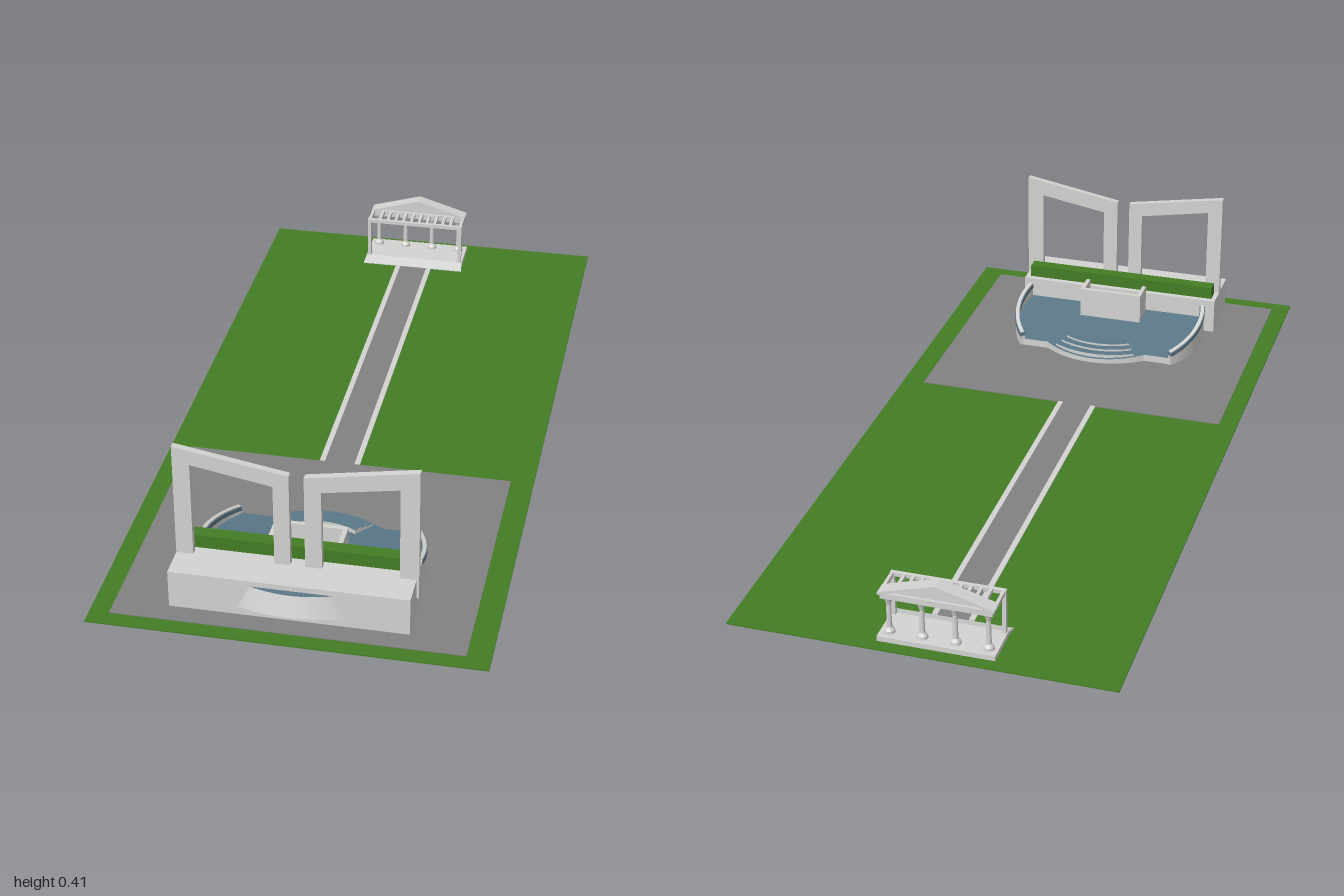
import * as THREE from 'three';

export function createModel() {
  const root = new THREE.Group();
  root.name = 'memorialGarden';
  const mat = (name, color) => Object.assign(new THREE.MeshStandardMaterial({ color, flatShading: true }), { name });
  const grass = mat('grass green', 0x437d24);
  const paving = mat('paving grey', 0x828282);
  const stone = mat('pale stone', 0xd3d3d1);
  const water = mat('water blue', 0x5b7888);

  const add = (name, geo, m, parent = root) => {
    const mesh = new THREE.Mesh(geo, m);
    mesh.name = name;
    parent.add(mesh);
    return mesh;
  };
  // Box given by its limits on each axis
  const box = (name, x0, x1, y0, y1, z0, z1, m, parent) => {
    const g = new THREE.BoxGeometry(x1 - x0, y1 - y0, z1 - z0);
    g.translate((x0 + x1) / 2, (y0 + y1) / 2, (z0 + z1) / 2);
    return add(name, g, m, parent);
  };
  // Plan outline [x, z] raised between two sloping surfaces; taper moves the top corners
  const slab = (name, pts, bottom, top, m, taper) => {
    const shape = new THREE.Shape(pts.map(([x, z]) => new THREE.Vector2(x, -z)));
    const g = new THREE.ExtrudeGeometry(shape, { depth: 1, bevelEnabled: false });
    g.rotateX(-Math.PI / 2);
    const p = g.attributes.position;
    for (let i = 0; i < p.count; i++) {
      let x = p.getX(i), z = p.getZ(i);
      const upper = p.getY(i) > 0.5;
      const y = upper ? top(z) : bottom(z);
      if (upper && taper) [x, z] = taper(x, z);
      p.setXYZ(i, x, y, z);
    }
    g.computeVertexNormals();
    return add(name, g, m);
  };
  const arc = (cz, r, a0, a1, n = 20) => Array.from({ length: n + 1 }, (_, i) => {
    const a = a0 + (a1 - a0) * i / n;
    return [r * Math.cos(a), cz + r * Math.sin(a)];
  });

  // Ground
  box('lawn', -0.473, 0.473, 0.015, 0.018, -1, 1, grass);
  box('plaza', -0.425, 0.415, 0, 0.02, 0.24, 0.96, paving);
  box('path', -0.066, 0.011, 0.013, 0.02, -0.83, 0.24, paving);
  for (const x of [-0.08, 0.011]) box('pathKerb', x, x + 0.014, 0.015, 0.021, -0.83, 0.24, stone);

  // Main wall with hedge on top
  box('wallFooting', -0.27, 0.265, 0.02, 0.026, 0.765, 0.905, paving);
  box('mainWall', -0.293, 0.277, 0.025, 0.122, 0.757, 0.915, stone);
  box('hedge', -0.28, 0.262, 0.122, 0.156, 0.773, 0.807, grass);

  // Two leaning gate frames
  const frame = (name, outer, inner) => {
    const s = new THREE.Shape(outer.map(p => new THREE.Vector2(...p)));
    s.holes.push(new THREE.Path(inner.map(p => new THREE.Vector2(...p))));
    const g = new THREE.ExtrudeGeometry(s, { depth: 0.017, bevelEnabled: false });
    g.translate(0, 0, 0.818);
    add(name, g, stone);
  };
  frame('rightGateFrame',
    [[-0.293, 0.07], [-0.02, 0.07], [-0.02, 0.368], [-0.293, 0.415]],
    [[-0.252, 0.1], [-0.252, 0.37], [-0.058, 0.335], [-0.058, 0.1]]);
  frame('leftGateFrame',
    [[0.015, 0.07], [0.283, 0.07], [0.283, 0.415], [0.015, 0.368]],
    [[0.055, 0.1], [0.055, 0.333], [0.238, 0.364], [0.238, 0.1]]);

  // Bowed basin on the front of the wall
  const bow = Array.from({ length: 17 }, (_, i) => {
    const t = i / 8 - 1;
    return [0.13 * t, 0.914 + 0.033 * (1 - t * t)];
  });
  slab('frontBasin', bow, z => 0.046 + 0.3 * (z - 0.914), () => 0.108, [water, stone],
    (x, z) => [x * 0.77, 0.914 + (z - 0.914) * 0.55]);

  // Sloping pool behind the wall
  const waterY = z => 0.033 + (z - 0.485) * 0.13;
  const floorY = () => 0.02;
  const cut = Math.asin((0.535 - 0.69) / 0.265), side = Math.asin(0.07 / 0.265);
  const bulge = Math.asin((0.535 - 0.71) / 0.225);
  slab('pool', [
    ...arc(0.69, 0.265, side, cut),
    ...arc(0.71, 0.225, bulge, -Math.PI - bulge, 24),
    ...arc(0.69, 0.265, -Math.PI - cut, -Math.PI - side),
  ], floorY, waterY, [water, stone]);

  // Curved side walls with a blue band and a stone coping
  const rimY = z => 0.107 - 0.2 * (0.76 - z);
  const ring = (r0, r1, a, b) => [...arc(0.69, r0, a, b), ...arc(0.69, r1, b, a)];
  for (const [a, b] of [[side, cut], [-Math.PI - cut, -Math.PI - side]]) {
    slab('poolSideWall', ring(0.26, 0.272, a, b), floorY, z => rimY(z) - 0.014, stone);
    slab('poolBand', ring(0.259, 0.274, a, b), z => rimY(z) - 0.014, z => rimY(z) - 0.003, water);
    slab('poolCoping', ring(0.262, 0.272, a, b), z => rimY(z) - 0.003, rimY, stone);
  }

  // Cascade steps at the low end
  for (let i = 0; i < 3; i++) {
    const r0 = 0.155 + i * 0.021, a = -2.12, b = -1.02;
    slab('cascadeStep', [...arc(0.71, r0, a, b), ...arc(0.71, r0 + 0.021, b, a)],
      floorY, () => 0.056 - i * 0.006, [water, stone]);
  }

  // Open planter against the wall
  box('planterBack', -0.09, 0.088, 0.05, 0.143, 0.688, 0.7, stone);
  for (const x of [-0.09, 0.077]) box('planterSide', x, x + 0.011, 0.05, 0.143, 0.7, 0.757, stone);

  // Colonnade at the far end of the path
  const temple = new THREE.Group();
  temple.name = 'colonnade';
  root.add(temple);
  const cx = -0.031;
  box('colonnadeBase', cx - 0.143, cx + 0.143, 0.016, 0.031, -0.968, -0.865, stone, temple);
  slab('baseRamp', [[-0.174, -0.865], [0.112, -0.865], [0.115, -0.832], [-0.177, -0.832]],
    () => 0.017, z => 0.02 - (z + 0.832) * 0.33, stone);
  for (const s of [-1, 1]) {
    box('frontPost', cx + s * 0.135 - 0.005, cx + s * 0.135 + 0.005, 0.03, 0.145, -0.874, -0.864, stone, temple);
  }
  box('frontBeam', cx - 0.14, cx + 0.14, 0.138, 0.148, -0.874, -0.864, stone, temple);
  for (let i = 0; i < 10; i++) {
    const x = cx - 0.105 + i * 0.0233;
    box('rafter', x - 0.004, x + 0.004, 0.138, 0.148, -0.932, -0.87, stone, temple);
  }
  for (const s of [-1, 1]) {
    box('endRafter', cx + s * 0.135 - 0.004, cx + s * 0.135 + 0.004, 0.138, 0.148, -0.932, -0.87, stone, temple);
  }
  const profile = [[0, 0.03], [0.014, 0.03], [0.013, 0.038], [0.007, 0.046], [0.0055, 0.108],
    [0.009, 0.12], [0.014, 0.132], [0, 0.132]].map(p => new THREE.Vector2(...p));
  for (let i = 0; i < 4; i++) {
    const g = new THREE.LatheGeometry(profile, 12);
    g.translate(cx - 0.12 + i * 0.08, 0, -0.942);
    add('column', g, stone, temple);
  }

  // Pediment: entablature, recessed gable and raking cornice
  const gable = (name, pts, depth, z, hole) => {
    const s = new THREE.Shape(pts.map(([x, y]) => new THREE.Vector2(cx + x, y)));
    if (hole) s.holes.push(new THREE.Path(hole.map(([x, y]) => new THREE.Vector2(cx + x, y))));
    const g = new THREE.ExtrudeGeometry(s, { depth, bevelEnabled: false });
    g.translate(0, 0, z);
    add(name, g, stone, temple);
  };
  box('entablature', cx - 0.135, cx + 0.135, 0.13, 0.144, -0.958, -0.927, stone, temple);
  gable('gablePanel', [[-0.13, 0.144], [0.13, 0.144], [0, 0.183]], 0.022, -0.955);
  gable('cornice', [[-0.14, 0.142], [0.14, 0.142], [0.14, 0.148], [0, 0.189], [-0.14, 0.148]], 0.036, -0.962,
    [[-0.115, 0.148], [0, 0.181], [0.115, 0.148]]);

  return root;
}
